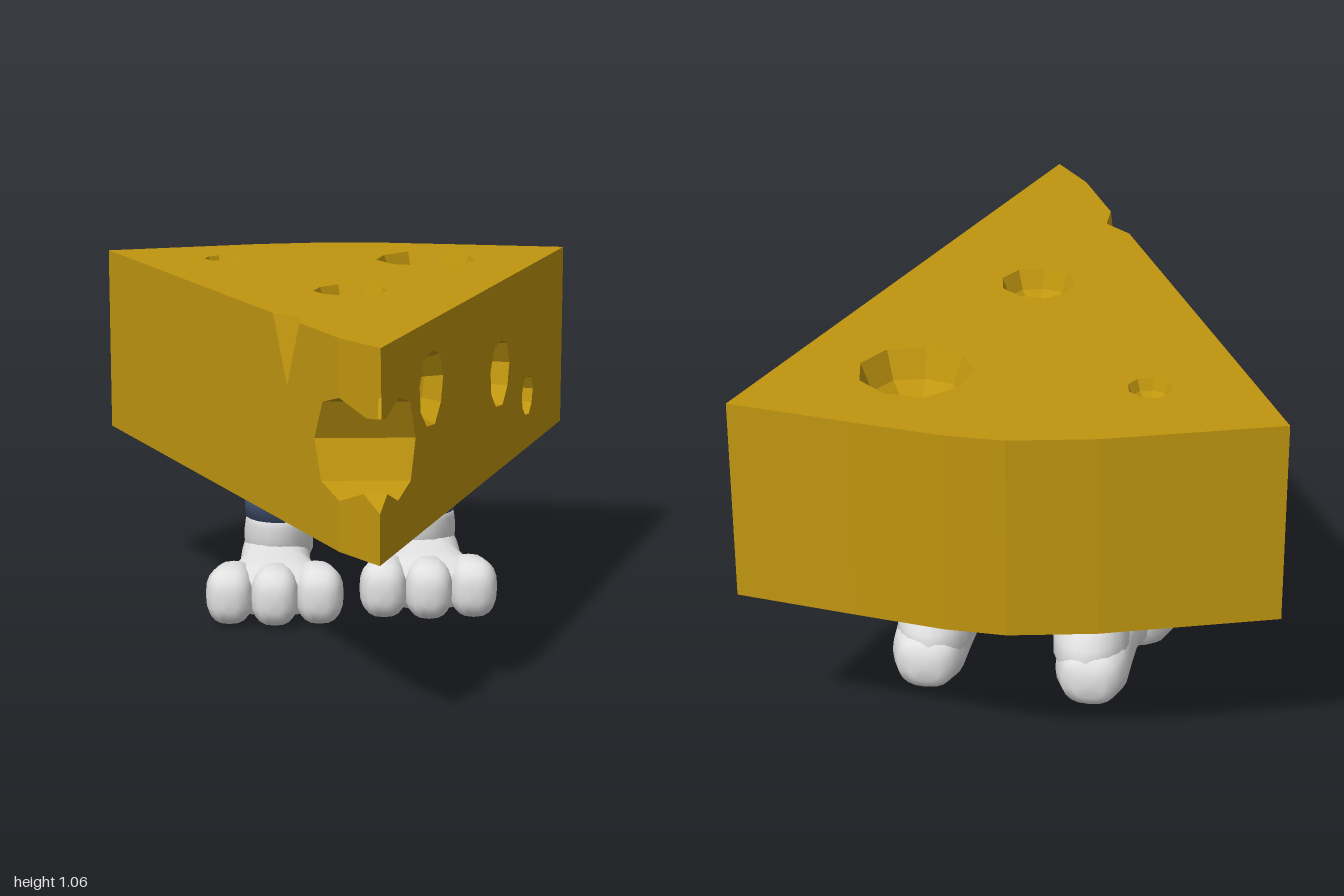
import * as THREE from 'three';

const cheese = new THREE.MeshStandardMaterial({ color: 0xc0960f, side: THREE.DoubleSide });
cheese.name = 'cheese yellow';
const white = new THREE.MeshStandardMaterial({ color: 0xe2e2e2 });
white.name = 'foot white';
const blue = new THREE.MeshStandardMaterial({ color: 0x4f6285 });
blue.name = 'trouser blue';

const LOW = 0.48, HIGH = 1.06, BEND = 0.84, TIP = 0.99;

// x of the right and left walls at a given z
const rightX = z => 0.09 + (TIP - z) * 0.3476;
const leftX = z => z <= BEND ? -0.74 + (z + 0.82) * 0.437 : THREE.MathUtils.lerp(leftX(BEND), 0.09, (z - BEND) / (TIP - BEND));

function addMesh(group, name, geometry, material) {
  const mesh = new THREE.Mesh(geometry, material);
  mesh.name = name;
  group.add(mesh);
}

// Flat-shaded mesh from a list of triangles (three Vector3 each)
function facets(points) {
  const g = new THREE.BufferGeometry().setFromPoints(points);
  g.computeVertexNormals();
  return g;
}

// Nine-sided hole outline
function holeRing([u, v, r], scale = 1) {
  return Array.from({ length: 9 }, (_, i) => {
    const t = (i + 0.3) / 9 * Math.PI * 2;
    const k = r * scale * (1 + 0.04 * Math.sin(i * 2.3));
    return new THREE.Vector2(u + k * Math.cos(t), v + k * Math.sin(t));
  });
}

// Flat panel with holes, placed by map(u, v, depth)
function panel(outline, holes, map, flip) {
  const shape = new THREE.Shape(outline.map(p => new THREE.Vector2(...p)));
  holes.forEach(h => shape.holes.push(new THREE.Path(holeRing(h))));
  const g = new THREE.ShapeGeometry(shape).toNonIndexed();
  const p = g.attributes.position, pts = [];
  for (let i = 0; i < p.count; i += 3)
    for (const j of flip ? [0, 2, 1] : [0, 1, 2]) pts.push(map(p.getX(i + j), p.getY(i + j), 0));
  return facets(pts);
}

// Faceted pit behind a hole; profile lists [scale, depth]
function pit(hole, profile, map) {
  const rings = profile.map(([s, d]) => holeRing(hole, s).map(p => map(p.x, p.y, d)));
  const pts = [];
  for (let k = 0; k + 1 < rings.length; k++)
    for (let i = 0; i < 9; i++) {
      const j = (i + 1) % 9, a = rings[k], b = rings[k + 1];
      pts.push(a[i], b[i], a[j], a[j], b[i], b[j]);
    }
  return facets(pts);
}

// Smooth closed loft; rings are [x, y, z, halfX, halfOther], along 'y' or 'z'
function loft(rings, axis, power = 1) {
  const n = 20, pos = [], idx = [];
  const bend = v => Math.sign(v) * Math.abs(v) ** power;
  for (const [x, y, z, rx, ro] of rings)
    for (let i = 0; i < n; i++) {
      const t = i / n * Math.PI * 2, c = bend(Math.cos(t)), s = bend(Math.sin(t));
      if (axis === 'z') pos.push(x + rx * c, y + ro * s, z);
      else pos.push(x + rx * s, y, z + ro * c);
    }
  for (let k = 0; k + 1 < rings.length; k++)
    for (let i = 0; i < n; i++) {
      const a = k * n + i, b = k * n + (i + 1) % n;
      idx.push(a, b, a + n, b, b + n, a + n);
    }
  const last = (rings.length - 1) * n, c0 = rings.length * n;
  pos.push(...rings[0].slice(0, 3), ...rings[rings.length - 1].slice(0, 3));
  for (let i = 0; i < n; i++) {
    const j = (i + 1) % n;
    idx.push(c0, j, i, c0 + 1, last + i, last + j);
  }
  const g = new THREE.BufferGeometry();
  g.setAttribute('position', new THREE.Float32BufferAttribute(pos, 3));
  g.setIndex(idx);
  g.computeVertexNormals();
  return g;
}

function makeCheese() {
  const g = new THREE.Group();
  g.name = 'cheeseWedge';
  const V = (x, y, z) => new THREE.Vector3(x, y, z);
  const onTop = (u, v, d) => V(u, HIGH - d, v);
  const onBottom = (u, v) => V(u, LOW, v);
  const onRight = (u, v, d) => V(rightX(u) - 0.945 * d, v, u - 0.328 * d);
  const onLeft = (u, v) => V(leftX(u), v, u);

  // Top and bottom, with a chip out of the top's left edge
  const back = [[0.74, -0.88], [0.4, -0.945], [0.15, -0.99], [-0.02, -1], [-0.26, -0.96], [-0.74, -0.82]];
  const front = [[leftX(BEND), BEND], [0.09, TIP]];
  const chip = [[leftX(0.43), 0.43], [-0.117, 0.5], [leftX(0.6), 0.6]];
  const topHoles = [[-0.36, -0.64, 0.063], [0.28, -0.62, 0.16], [0.03, 0.02, 0.11]];
  addMesh(g, 'top', panel([...back, ...chip, ...front], topHoles, onTop, true), cheese);
  addMesh(g, 'bottom', panel([...back, ...front], [], onBottom, false), cheese);
  topHoles.forEach(h => addMesh(g, 'topPit',
    pit(h, [[1, 0], [0.8, h[2] * 0.5], [0.45, h[2] * 0.8], [0, h[2] * 0.9]], onTop), cheese));

  // Curved rind at the back
  const rind = [];
  for (let i = 0; i + 1 < back.length; i++) {
    const [a, b] = [back[i], back[i + 1]];
    const al = V(a[0], LOW, a[1]), ah = V(a[0], HIGH, a[1]), bl = V(b[0], LOW, b[1]), bh = V(b[0], HIGH, b[1]);
    rind.push(al, bl, ah, ah, bl, bh);
  }
  addMesh(g, 'rind', facets(rind), cheese);

  // Bite right through the tip, as [z, y]
  const bite = [[TIP, 0.62], [0.93, 0.66], [BEND, 0.62], [0.73, 0.65], [0.69, 0.76],
    [0.74, 0.87], [BEND, 0.9], [0.94, 0.865], [0.98, 0.87]];
  const biteFaces = [];
  for (let i = 0; i + 1 < bite.length; i++) {
    const [a, b] = [bite[i], bite[i + 1]];
    const la = onLeft(...a), lb = onLeft(...b), ra = onRight(...a, 0), rb = onRight(...b, 0);
    biteFaces.push(la, ra, lb, lb, ra, rb);
  }
  addMesh(g, 'tipBite', facets(biteFaces), cheese);

  // Right wall with three pits
  const sideHoles = [[0.55, 0.87, 0.11], [-0.14, 0.78, 0.105], [-0.46, 0.65, 0.065]];
  addMesh(g, 'rightWall', panel([[-0.88, LOW], [TIP, LOW], ...bite, [TIP, HIGH], [-0.88, HIGH]],
    sideHoles, onRight, true), cheese);
  sideHoles.forEach((h, i) => addMesh(g, 'sidePit', pit(h, i === 0
    ? [[1, 0], [0.8, 0.05], [0.42, 0.09], [0, 0.09]]
    : [[1, 0], [0.95, h[2] * 1.4], [0, h[2] * 1.4]], onRight), cheese));

  // Left wall, in a long part and two short parts past the bend
  addMesh(g, 'leftWall', panel([[-0.82, LOW], [BEND, LOW], ...bite.slice(2, 7), [BEND, HIGH],
    [0.6, HIGH], [0.52, 0.87], [0.43, HIGH], [-0.82, HIGH]], [], onLeft, false), cheese);
  addMesh(g, 'leftTipLower', panel([[BEND, LOW], [TIP, LOW], ...bite.slice(0, 3)], [], onLeft, false), cheese);
  addMesh(g, 'leftTipUpper', panel([...bite.slice(6), [TIP, HIGH], [BEND, HIGH]], [], onLeft, false), cheese);

  // Chipped edge
  const [A, B, C] = chip.map(p => onTop(...p, 0)), D = onLeft(0.52, 0.87);
  addMesh(g, 'edgeChip', facets([A, D, B, B, D, C]), cheese);
  return g;
}

// Leg and three-toed foot; inner is the x direction towards the other leg
function makeLeg(inner) {
  const g = new THREE.Group();
  g.name = inner > 0 ? 'rightLeg' : 'leftLeg';
  const x = 0.01 * inner;
  addMesh(g, 'trouserLeg', loft([
    [x, 0.27, -0.455, 0.106, 0.127], [x, 0.33, -0.435, 0.106, 0.117], [x, 0.4, -0.4, 0.108, 0.118],
    [x + 0.008 * inner, 0.45, -0.385, 0.115, 0.132], [x + 0.015 * inner, 0.5, -0.37, 0.128, 0.15]], 'y'), blue);
  addMesh(g, 'ankle', loft([
    [x, 0.08, -0.5, 0.08, 0.1], [x, 0.15, -0.49, 0.108, 0.145], [x, 0.21, -0.475, 0.11, 0.145],
    [x, 0.25, -0.46, 0.105, 0.13], [x, 0.285, -0.45, 0.098, 0.118]], 'y'), white);
  addMesh(g, 'foot', loft([
    [0, 0.115, -0.64, 0.045, 0.045], [0, 0.115, -0.62, 0.08, 0.075], [0, 0.12, -0.56, 0.105, 0.09],
    [0, 0.12, -0.45, 0.11, 0.095], [0, 0.108, -0.34, 0.115, 0.085], [0, 0.1, -0.24, 0.15, 0.085],
    [0, 0.095, -0.17, 0.17, 0.08], [0, 0.09, -0.12, 0.15, 0.06]], 'z', 0.8), white);
  for (const i of [-1, 0, 1]) {
    const z = i ? -0.07 : -0.05, k = 0.138 * i;
    addMesh(g, 'toe', loft([
      [k * 0.8, 0.1, z - 0.21, 0.04, 0.06], [k * 0.92, 0.094, z - 0.14, 0.066, 0.086],
      [k, 0.09, z - 0.08, 0.074, 0.09], [k, 0.09, z - 0.035, 0.068, 0.083],
      [k, 0.088, z - 0.01, 0.05, 0.064], [k, 0.086, z, 0.025, 0.035]], 'z', 0.78), white);
  }
  return g;
}

export function createModel() {
  const model = new THREE.Group();
  model.name = 'walkingCheese';
  model.add(makeCheese());
  const right = makeLeg(1), left = makeLeg(-1);
  right.position.x = -0.2;
  left.position.set(0.272, 0.02, 0);
  model.add(right, left);
  return model;
}
